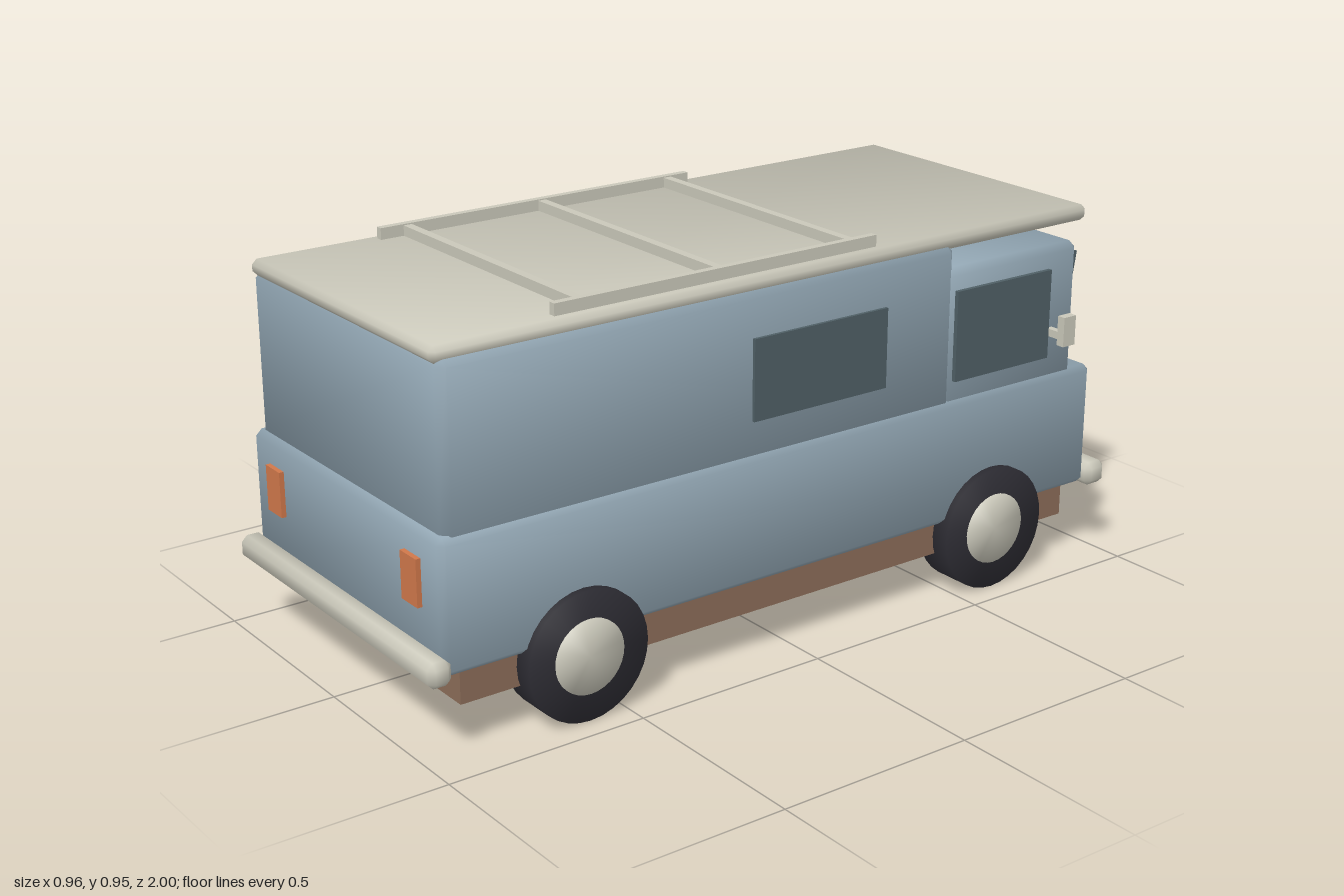
import * as THREE from 'three';
import { ConvexGeometry } from 'three/addons/geometries/ConvexGeometry.js';

const mat = (name, color) => {
  const m = new THREE.MeshStandardMaterial({ color });
  m.name = name;
  return m;
};

// Box with chamfered edges and softly blended normals, given as min/max corners
function chamferBox(min, max, bevel) {
  const half = min.map((v, i) => (max[i] - v) / 2);
  const points = [];
  for (let axis = 0; axis < 3; axis++)
    for (const sx of [-1, 1]) for (const sy of [-1, 1]) for (const sz of [-1, 1]) {
      const p = [sx, sy, sz].map((s, i) => s * (half[i] - (i === axis ? 0 : bevel)));
      points.push(new THREE.Vector3(...p));
    }
  const geo = new ConvexGeometry(points);
  const pos = geo.attributes.position;
  const n = new THREE.Vector3();
  for (let i = 0; i < pos.count; i++) {
    const p = [pos.getX(i), pos.getY(i), pos.getZ(i)];
    // the outermost axis leads, the other two tilt the normal outwards
    n.set(...p.map((v, k) => Math.sign(v) * (Math.abs(v) > half[k] - bevel / 2 ? 3 : 1.3))).normalize();
    geo.attributes.normal.setXYZ(i, n.x, n.y, n.z);
  }
  return geo.translate(...min.map((v, i) => (v + max[i]) / 2));
}

function flatBox(min, max) {
  return new THREE.BoxGeometry(...min.map((v, i) => max[i] - v))
    .translate(...min.map((v, i) => (v + max[i]) / 2));
}

// Short drum with blended rim normals, axis along y
function drum(radius, width) {
  const h = width / 2;
  return new THREE.LatheGeometry(
    [[0, -h], [radius, -h], [radius, h], [0, h]].map(([x, y]) => new THREE.Vector2(x, y)), 32);
}

export function createModel() {
  const van = new THREE.Group();
  van.name = 'camperVan';
  const blue = mat('bluePaint', 0x8fa3b0);
  const cream = mat('creamTrim', 0xc9c7b9);
  const glass = mat('darkGlass', 0x4f5f65);
  const rubber = mat('tyreRubber', 0x2d2c33);
  const brown = mat('brownChassis', 0x8b6c58);
  const orange = mat('orangeLamp', 0xcf774a);

  const add = (name, geo, material, parent = van) => {
    const mesh = new THREE.Mesh(geo, material);
    mesh.name = name;
    parent.add(mesh);
    return mesh;
  };

  // Body shells
  add('chassis', flatBox([-0.39, 0.11, -0.89], [0.39, 0.21, 0.9]), brown);
  add('lowerBody', chamferBox([-0.42, 0.195, -0.945], [0.42, 0.512, 0.955], 0.015), blue);
  add('upperBody', chamferBox([-0.41, 0.49, -0.48], [0.41, 0.9, 0.937], 0.02), blue);
  add('cab', chamferBox([-0.407, 0.49, -0.89], [0.407, 0.84, -0.45], 0.018), blue);
  add('roof', chamferBox([-0.4, 0.886, -0.92], [0.4, 0.925, 0.945], 0.012), cream);

  // Roof rack
  const rack = new THREE.Group();
  rack.name = 'roofRack';
  van.add(rack);
  for (const s of [-1, 1])
    add('rackRail', flatBox([s * 0.364 - 0.009, 0.92, -0.257], [s * 0.364 + 0.009, 0.953, 0.63]), cream, rack);
  for (const z of [-0.193, 0.183, 0.558])
    add('rackBar', flatBox([-0.36, 0.922, z - 0.011], [0.36, 0.95, z + 0.011]), cream, rack);

  // Bumpers at both ends
  add('rearBumper', chamferBox([-0.44, 0.187, 0.942], [0.44, 0.247, 1], 0.014), cream);
  add('noseBumper', chamferBox([-0.44, 0.187, -1], [0.44, 0.247, -0.935], 0.014), cream);

  // Windscreen leaning forward at the top
  const screen = add('windscreen', new THREE.BoxGeometry(0.74, 0.2, 0.025), glass);
  screen.position.set(0, 0.704, -0.892);
  screen.rotation.x = -0.17;

  // Grille
  add('grille', flatBox([-0.23, 0.342, -0.957], [0.23, 0.474, -0.94]), cream);

  // Mirrored parts
  for (const s of [-1, 1]) {
    const side = (name, [x0, y0, z0], [x1, y1, z1], material) =>
      add(name, flatBox([Math.min(s * x0, s * x1), y0, z0], [Math.max(s * x0, s * x1), y1, z1]), material);

    side('sideWindow', [0.4, 0.592, -0.26], [0.418, 0.788, 0.13], glass);
    side('cabWindow', [0.4, 0.56, -0.788], [0.418, 0.786, -0.48], glass);
    side('mirrorArm', [0.4, 0.615, -0.808], [0.46, 0.634, -0.79], cream);
    side('mirror', [0.457, 0.605, -0.817], [0.479, 0.68, -0.778], cream);
    side('tailLamp', [0.274, 0.336, 0.945], [0.34, 0.448, 0.967], orange);

    const lamp = add('headlamp', drum(0.054, 0.03), cream);
    lamp.rotation.x = Math.PI / 2;
    lamp.position.set(s * 0.304, 0.41, -0.953);

    for (const z of [-0.61, 0.6]) {
      const wheel = new THREE.Group();
      wheel.name = 'wheel';
      wheel.position.set(s * 0.39, 0.157, z);
      wheel.rotation.z = Math.PI / 2;
      van.add(wheel);
      add('tyre', drum(0.157, 0.1), rubber, wheel);
      add('hubcap', drum(0.09, 0.108), cream, wheel);
    }
  }
  return van;
}
